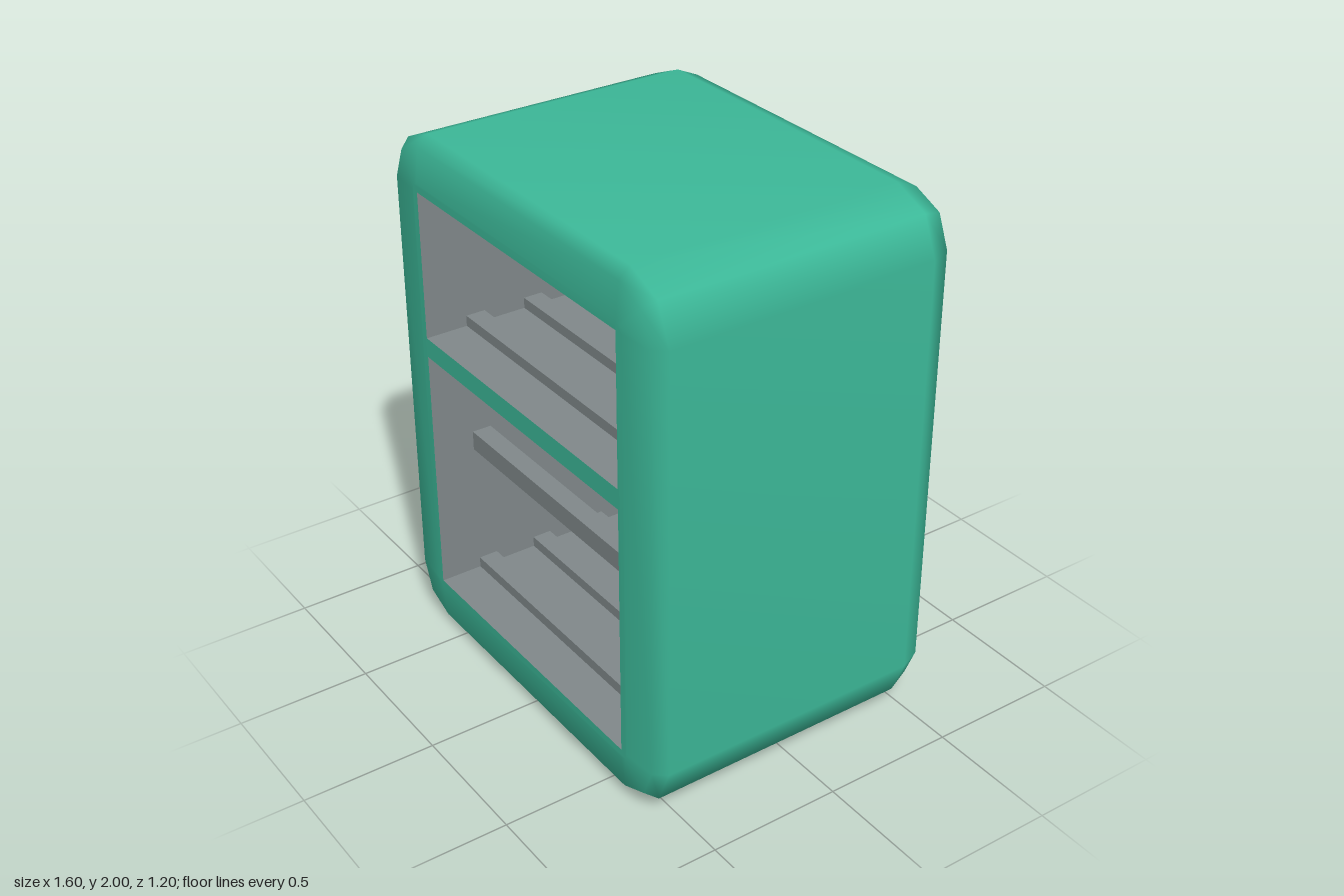
import * as THREE from 'three';
import { mergeGeometries, mergeVertices } from 'three/addons/utils/BufferGeometryUtils.js';

const HALF_W = 0.8, HALF_H = 1, RADIUS = 0.2, OPEN_X = 0.6;
const FRONT = 0.6, INNER_BACK = -0.5;
const OPENINGS = [[0.2, 1.165], [1.24, 1.8]]; // bottom and top of each compartment

// Rounded rectangle outline, counterclockwise, two segments per corner
function outline(inset) {
  const r = RADIUS - inset, pts = [];
  [[1, 1], [-1, 1], [-1, -1], [1, -1]].forEach(([sx, sy], q) => {
    for (let k = 0; k <= 2; k++) {
      const a = (q + k / 2) * Math.PI / 2;
      pts.push(new THREE.Vector2(
        sx * (HALF_W - RADIUS) + r * Math.cos(a),
        HALF_H + sy * (HALF_H - RADIUS) + r * Math.sin(a)));
    }
  });
  return pts;
}

// Cabinet shell: bevelled rings, closed back, front frame with two openings
function shellGeometry() {
  const rings = [[-0.6, 0.168], [-0.565, 0.038], [-0.48, 0], [0.545, 0], [0.588, 0.038], [FRONT, 0.168]];
  const pos = [], idx = [], n = 12;
  for (const [z, inset] of rings) for (const p of outline(inset)) pos.push(p.x, p.y, z);
  for (let i = 0; i < rings.length - 1; i++) {
    for (let j = 0; j < n; j++) {
      const a = i * n + j, b = i * n + (j + 1) % n;
      idx.push(a, b, b + n, a, b + n, a + n);
    }
  }
  const sides = new THREE.BufferGeometry();
  sides.setAttribute('position', new THREE.Float32BufferAttribute(pos, 3));
  sides.setIndex(idx);

  const back = new THREE.ShapeGeometry(new THREE.Shape(outline(0.168)));
  back.rotateY(Math.PI).translate(0, 0, -0.6);

  const frame = new THREE.Shape(outline(0.168));
  for (const [y0, y1] of OPENINGS) {
    frame.holes.push(new THREE.Path([
      new THREE.Vector2(-OPEN_X, y0), new THREE.Vector2(-OPEN_X, y1),
      new THREE.Vector2(OPEN_X, y1), new THREE.Vector2(OPEN_X, y0)]));
  }
  const front = new THREE.ShapeGeometry(frame).translate(0, 0, FRONT);

  const parts = [sides, back, front].map((g) => {
    const flat = g.toNonIndexed();
    flat.deleteAttribute('normal');
    flat.deleteAttribute('uv');
    return flat;
  });
  const shell = mergeVertices(mergeGeometries(parts), 1e-4);
  shell.computeVertexNormals();
  return shell;
}

// Inward-facing box without its front side
function cavityGeometry(y0, y1) {
  const g = new THREE.BoxGeometry(2 * OPEN_X, y1 - y0, FRONT - INNER_BACK);
  const idx = Array.from(g.index.array).filter((_, i) => Math.floor(i / 6) !== 4).reverse();
  g.setIndex(idx);
  g.clearGroups();
  g.computeVertexNormals();
  return g.translate(0, (y0 + y1) / 2, (FRONT + INNER_BACK) / 2);
}

export function createModel() {
  const green = new THREE.MeshStandardMaterial({ color: 0x3cb898 });
  green.name = 'green shell';
  const grey = new THREE.MeshStandardMaterial({ color: 0x80888a });
  grey.name = 'grey interior';

  const model = new THREE.Group();
  model.name = 'cabinet';
  const add = (parent, name, geometry, material) => {
    const mesh = new THREE.Mesh(geometry, material);
    mesh.name = name;
    parent.add(mesh);
    return mesh;
  };

  add(model, 'shell', shellGeometry(), green);
  add(model, 'lowerCompartment', cavityGeometry(...OPENINGS[0]), grey);
  add(model, 'upperCompartment', cavityGeometry(...OPENINGS[1]), grey);

  // Shelves of square bars; the floor racks are half sunk
  const bar = new THREE.BoxGeometry(2 * OPEN_X, 0.075, 0.075);
  const racks = { lowerRack: 0.203, middleRack: 0.7625, upperRack: 1.243 };
  for (const [name, y] of Object.entries(racks)) {
    const rack = new THREE.Group();
    rack.name = name;
    for (let i = 0; i < 4; i++) add(rack, 'shelfBar', bar, grey).position.set(0, y, 0.4 - 0.24 * i);
    model.add(rack);
  }
  return model;
}
